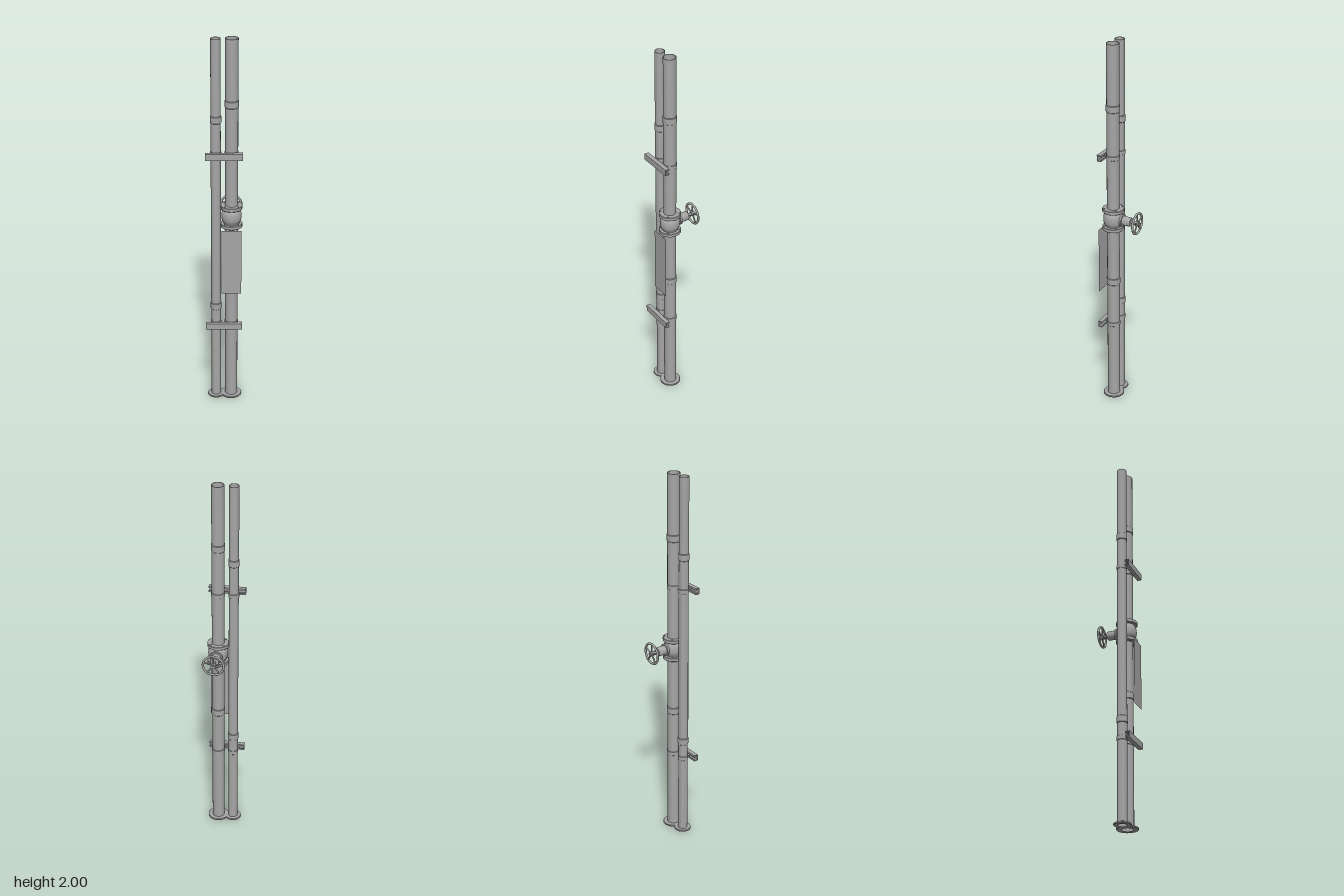
import * as THREE from 'three';
import { toCreasedNormals } from 'three/addons/utils/BufferGeometryUtils.js';

const steel = new THREE.MeshStandardMaterial({ color: 0xa6a6a6 });
steel.name = 'grey steel';
const sheet = steel.clone();
sheet.name = 'grey sheet';
sheet.side = THREE.DoubleSide;

const BIG = { name: 'mainPipe', x: 0.035, z: 0.045, r: 0.033, inner: 0.030, flange: 0.056, couplings: [0.70, 1.665] };
const SMALL = { name: 'sidePipe', x: -0.045, z: 0.049, r: 0.0255, inner: 0.0235, flange: 0.045, couplings: [0.545, 1.585] };
const STRUTS = [0.445, 1.403];
const VALVE_Y = 1.06;

export function createModel() {
  const model = new THREE.Group();
  model.name = 'pipeAssembly';

  const add = (parent, name, geometry, x = 0, y = 0, z = 0) => {
    const mesh = new THREE.Mesh(geometry, steel);
    mesh.name = name;
    mesh.position.set(x, y, z);
    parent.add(mesh);
    return mesh;
  };
  // Turned part from [radius, height] pairs, listed upward on the outside
  const turned = (points, sides = 16) => toCreasedNormals(
    new THREE.LatheGeometry(points.map(([r, y]) => new THREE.Vector2(r, y)), sides), 0.6);
  // Ring with a bevelled rim, centred on its height
  const ring = (inner, outer, h, b, sides = 16) => turned([
    [inner, -h / 2], [outer - b, -h / 2], [outer, -h / 2 + b], [outer, h / 2 - b],
    [outer - b, h / 2], [inner, h / 2], [inner, -h / 2]], sides);
  const rod = (r, length, sides = 12) => new THREE.CylinderGeometry(r, r, length, sides);

  // Two upright hollow pipes with base flanges, couplings and clamps
  for (const p of [BIG, SMALL]) {
    const pipe = new THREE.Group();
    pipe.name = p.name;
    pipe.position.set(p.x, 0, p.z);
    model.add(pipe);
    add(pipe, 'tube', turned([[p.inner, 0], [p.r, 0], [p.r, 2], [p.inner, 2], [p.inner, 0]]));
    add(pipe, 'baseFlange', ring(p.inner, p.flange, 0.01, 0.002), 0, 0.005, 0);
    for (const y of p.couplings) add(pipe, 'coupling', ring(p.inner + 0.001, p.r + 0.003, 0.038, 0.003), 0, y, 0);
    for (const y of STRUTS) {
      add(pipe, 'clampBand', ring(p.inner + 0.001, p.r + 0.0025, 0.022, 0.001), 0, y, 0);
      const length = 0.09 - p.z - p.r;
      add(pipe, 'clampBolt', rod(0.007, length, 6), 0, y, p.r + length / 2).rotation.x = Math.PI / 2;
    }
  }

  // Channel struts across the pipes, open towards them
  const channel = new THREE.Shape([
    [0.0115, -0.017], [0.0115, 0.017], [-0.0115, 0.017], [-0.0115, 0.008], [-0.006, 0.008],
    [-0.006, 0.013], [0.0075, 0.013], [0.0075, -0.013], [-0.006, -0.013], [-0.006, -0.008],
    [-0.0115, -0.008], [-0.0115, -0.017],
  ].map(([z, y]) => new THREE.Vector2(-z, y)));
  const strutGeometry = new THREE.ExtrudeGeometry(channel, { depth: 0.19, bevelEnabled: false })
    .translate(0, 0, -0.095).rotateY(Math.PI / 2);
  for (const y of STRUTS) add(model, 'strut', strutGeometry, -0.004, y, 0.096);

  // Gate valve on the main pipe
  const valve = new THREE.Group();
  valve.name = 'valve';
  valve.position.set(BIG.x, VALVE_Y, BIG.z);
  model.add(valve);
  add(valve, 'valveBody', turned([
    [0.031, -0.045], [0.040, -0.045], [0.041, -0.036], [0.047, -0.029], [0.051, -0.015], [0.052, 0],
    [0.051, 0.015], [0.047, 0.029], [0.041, 0.036], [0.040, 0.045], [0.031, 0.045]], 20));
  for (const s of [-1, 1]) {
    add(valve, 'valveFlange', ring(0.031, 0.057, 0.019, 0.002), 0, s * 0.05, 0);
    for (let i = 0; i < 4; i++) {
      const a = Math.PI / 4 + i * Math.PI / 2;
      add(valve, 'flangeBolt', rod(0.0045, 0.026, 6), 0.048 * Math.cos(a), s * 0.05, 0.048 * Math.sin(a));
    }
  }

  // Bonnet, stem and handwheel, built upright and laid to the rear
  const top = new THREE.Group();
  top.name = 'handwheelAssembly';
  top.rotation.x = -Math.PI / 2;
  valve.add(top);
  add(top, 'bonnetFlange', rod(0.032, 0.01, 16), 0, 0.054, 0);
  add(top, 'bonnet', turned([[0.024, 0.04], [0.024, 0.102], [0.022, 0.105], [0, 0.105]]));
  add(top, 'stem', rod(0.007, 0.054), 0, 0.127, 0);
  add(top, 'stemNut', rod(0.006, 0.008, 6), 0, 0.150, 0);
  add(top, 'wheelHub', rod(0.013, 0.019), 0, 0.139, 0);
  add(top, 'wheelRim', new THREE.TorusGeometry(0.054, 0.006, 8, 28).rotateX(Math.PI / 2), 0, 0.139, 0);
  for (let i = 0; i < 5; i++) {
    const a = i * Math.PI * 2 / 5 + Math.PI / 2;
    const spoke = add(top, 'wheelSpoke', rod(0.0042, 0.046, 8).rotateZ(Math.PI / 2),
      0.031 * Math.cos(a), 0.139, 0.031 * Math.sin(a));
    spoke.rotation.y = -a;
  }

  // Thin sheet hanging in front of the main pipe
  const plate = add(model, 'signPlate', new THREE.PlaneGeometry(0.103, 0.36), 0.034, 0.82, 0.104);
  plate.material = sheet;

  return model;
}
